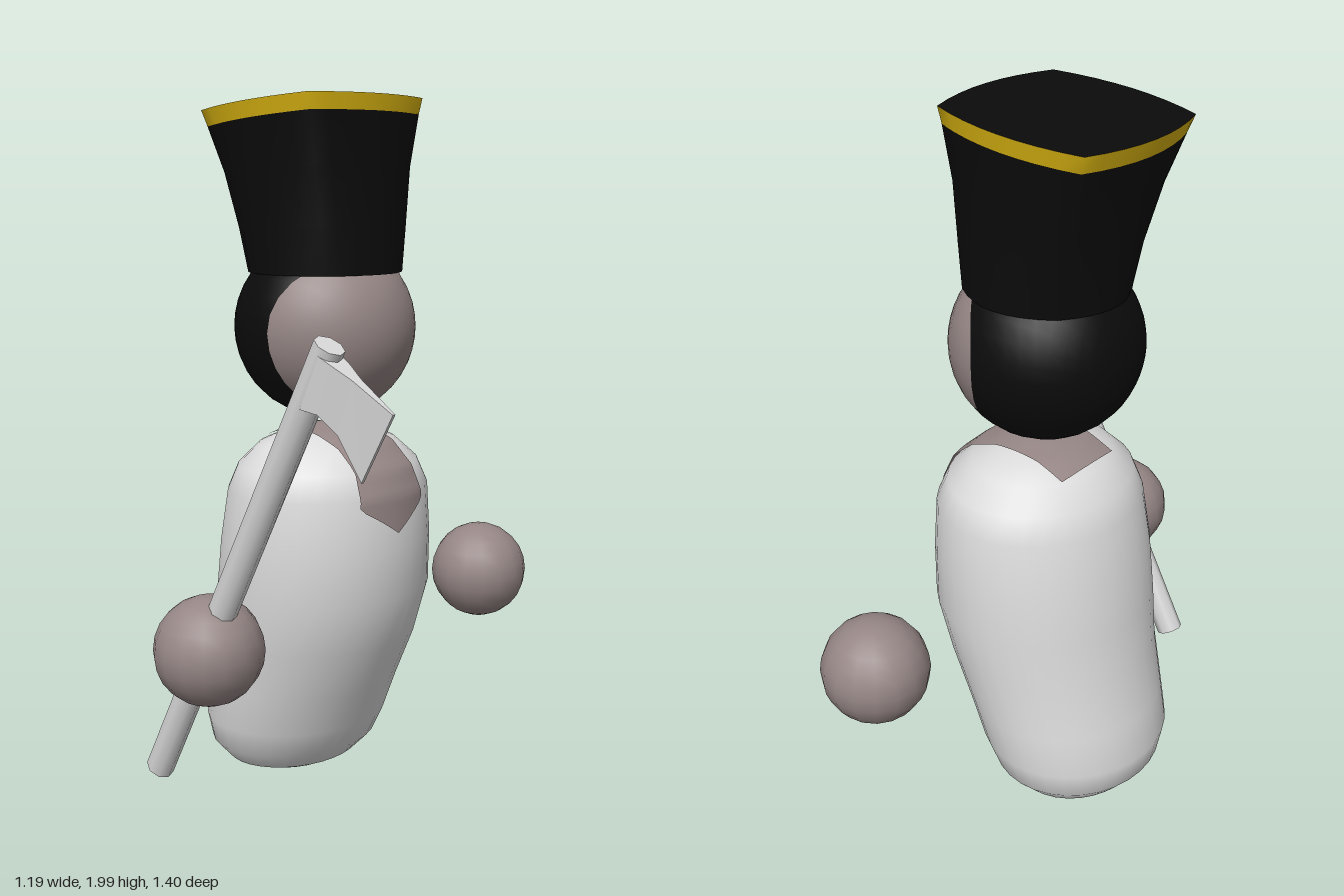
import * as THREE from 'three';

const mat = (name, color, side = THREE.FrontSide) => {
  const m = new THREE.MeshStandardMaterial({ color, side });
  m.name = name;
  return m;
};

// Skin over closed rings of [x, y, z]; each ring turns so that axis x tangent points outward
function loft(rings, capStart = false, capEnd = false) {
  const n = rings[0].length, pos = rings.flat(2), idx = [];
  for (let r = 0; r < rings.length - 1; r++) {
    for (let i = 0; i < n; i++) {
      const a = r * n + i, b = r * n + (i + 1) % n;
      idx.push(a, a + n, b, b, a + n, b + n);
    }
  }
  const cap = (ring, flip) => {
    const base = pos.length / 3;
    pos.push(...ring.flat());
    for (let k = 0; k < 3; k++) pos.push(ring.reduce((s, p) => s + p[k], 0) / n);
    for (let i = 0; i < n; i++) {
      const a = base + i, b = base + (i + 1) % n;
      idx.push(base + n, flip ? b : a, flip ? a : b);
    }
  };
  if (capStart) cap(rings[0], false);
  if (capEnd) cap(rings[rings.length - 1], true);
  const g = new THREE.BufferGeometry();
  g.setAttribute('position', new THREE.Float32BufferAttribute(pos, 3));
  g.setIndex(idx);
  g.computeVertexNormals();
  return g;
}

// Body sections: y, back x, front x, half depth
const BODY = [
  [0.008, -0.40, -0.30, 0.07], [0.02, -0.48, -0.23, 0.15], [0.045, -0.54, -0.18, 0.215],
  [0.10, -0.585, -0.125, 0.265], [0.18, -0.598, -0.085, 0.288], [0.30, -0.572, -0.035, 0.297],
  [0.45, -0.54, 0.035, 0.308], [0.60, -0.52, 0.08, 0.325], [0.75, -0.50, 0.085, 0.32],
  [0.90, -0.465, 0.075, 0.31], [0.97, -0.435, 0.045, 0.28], [1.03, -0.375, -0.02, 0.215],
  [1.06, -0.31, -0.09, 0.14], [1.075, -0.23, -0.17, 0.04],
];

function bodySection(y) {
  let i = 0;
  while (i < BODY.length - 2 && BODY[i + 1][0] < y) i++;
  const a = BODY[i], b = BODY[i + 1];
  const t = (y - a[0]) / (b[0] - a[0]);
  return a.map((v, k) => v + (b[k] - v) * t);
}

function insideBody(x, y, z) {
  if (y > 1.075) return false;
  const [, x0, x1, d] = bodySection(y);
  return ((x - (x0 + x1) / 2) / ((x1 - x0) / 2)) ** 2 + (z / d) ** 2 < 1;
}

function bodyGeometry() {
  const n = 32;
  return loft(BODY.map(([y, x0, x1, d]) => Array.from({ length: n }, (_, i) => {
    const a = i / n * Math.PI * 2;
    return [(x0 + x1) / 2 + (x1 - x0) / 2 * Math.cos(a), y, d * Math.sin(a)];
  })), true, true);
}

// Open collar: a strip hugging the body from the front point over the top
function collarGeometry() {
  const rows = 40, cols = 12, a0 = -0.18, a1 = 2.26;
  const g = new THREE.PlaneGeometry(1, 1, cols, rows), p = g.attributes.position;
  for (let i = 0; i < p.count; i++) {
    const a = a0 + (p.getY(i) + 0.5) * (a1 - a0);
    const half = a < 0.1 ? 0.125 * (a - a0) / (0.1 - a0) : 0.125 - 0.015 * Math.min(1, (a - 0.1) / 0.5);
    const z = -p.getX(i) * 2 * half;
    let lo = 0, hi = 0.6;
    for (let k = 0; k < 30; k++) {
      const t = (lo + hi) / 2;
      if (insideBody(-0.2 + t * Math.cos(a), 0.85 + t * Math.sin(a), z)) lo = t; else hi = t;
    }
    const t = lo + 0.006;
    p.setXYZ(i, -0.2 + t * Math.cos(a), 0.85 + t * Math.sin(a), z);
  }
  g.computeVertexNormals();
  return g;
}

// Part of the head sphere, measured from the face pole; the hairline varies around it
function headGeometry(isFace) {
  const n = 32, rows = 12, R = 0.26, rings = [];
  for (let r = 0; r <= rows; r++) {
    rings.push(Array.from({ length: n }, (_, i) => {
      const a = i / n * Math.PI * 2, up = Math.cos(a);
      const edge = 1.42 - (up > 0 ? 0.57 : 0.25) * up * up;
      const t = r / rows;
      const th = isFace ? edge * (1 - t) + 0.005 * t : (Math.PI - 0.005) * (1 - t) + edge * t;
      return [R * Math.cos(th), R * Math.sin(th) * up, -R * Math.sin(th) * Math.sin(a)];
    }));
  }
  const g = loft(rings, !isFace, isFace);
  g.setAttribute('normal', g.attributes.position.clone());
  g.normalizeNormals();
  return g;
}

// Bowed-square hat section; bow 0.29 is nearly a circle
function hatRing([y, tilt, cx, wx, wz, bow]) {
  const ring = [], steps = 8;
  for (let side = 0; side < 4; side++) {
    for (let i = 0; i < steps; i++) {
      const s = i / steps * 2 - 1;
      let u = 1 - bow * s * s, v = (1 - bow) * s;
      for (let k = 0; k < side; k++) [u, v] = [-v, u];
      ring.push([cx + wx * u, y + tilt * u, wz * v]);
    }
  }
  return ring;
}

export function createModel() {
  const model = new THREE.Group();
  const white = mat('white cloth', 0xdcdcdc);
  const steel = mat('pale steel', 0xd8d8d8);
  const skin = mat('skin', 0x968786, THREE.DoubleSide);
  const black = mat('black', 0x0b0b0b);
  const gold = mat('gold trim', 0xdcb612);

  const add = (name, geometry, material, x = 0, y = 0, z = 0) => {
    const m = new THREE.Mesh(geometry, material);
    m.name = name;
    m.position.set(x, y, z);
    model.add(m);
    return m;
  };

  // Body and collar
  add('body', bodyGeometry(), white);
  add('collar', collarGeometry(), skin);

  // Head
  add('face', headGeometry(true), skin, -0.205, 1.36, 0);
  add('hair', headGeometry(false), black, -0.205, 1.36, 0);

  // Tall hat, flared and tilted at the top
  const rim = hatRing([1.935, 0.02, -0.2475, 0.2475, 0.25, 0.155]);
  const crown = hatRing([1.98, 0.02, -0.2525, 0.2575, 0.26, 0.15]);
  add('hat', loft([
    hatRing([1.515, 0, -0.203, 0.215, 0.216, 0.28]),
    hatRing([1.64, 0.003, -0.213, 0.219, 0.221, 0.24]),
    hatRing([1.80, 0.01, -0.2325, 0.228, 0.23, 0.19]),
    rim,
  ], true), black);
  add('hatBand', loft([rim, crown]), gold);
  const top = new THREE.BufferGeometry();
  const pts = crown.flatMap((p, i) => [...crown[(i + 1) % crown.length], ...p, -0.2525, 1.98, 0]);
  top.setAttribute('position', new THREE.Float32BufferAttribute(pts, 3));
  top.computeVertexNormals();
  add('hatTop', top, black);

  // Floating hands
  for (const side of [1, -1]) {
    add(side > 0 ? 'leftHand' : 'rightHand', new THREE.SphereGeometry(0.149, 16, 12), skin, -0.08, 0.55, side * 0.553);
  }

  // Axe handle
  const handle = add('axeHandle', new THREE.CylinderGeometry(0.041, 0.041, 1.424, 8), steel, 0.0455, 0.7765, 0.56);
  handle.scale.z = 0.9;
  handle.rotation.z = -Math.atan2(0.695, 1.243);

  // Axe blade, thinning toward the cutting edge: top x, y, bottom x, y, half thickness
  const blade = loft([
    [0.39, 1.375, 0.325, 1.245, 0.034], [0.425, 1.358, 0.38, 1.238, 0.03],
    [0.48, 1.327, 0.432, 1.195, 0.015], [0.597, 1.26, 0.498, 1.09, 0.004],
  ].map(([tx, ty, bx, by, h]) => [[tx, ty, h], [tx, ty, -h], [bx, by, -h], [bx, by, h]]), true, true).toNonIndexed();
  blade.computeVertexNormals();
  add('axeBlade', blade, steel, 0, 0, 0.56);

  return model;
}
